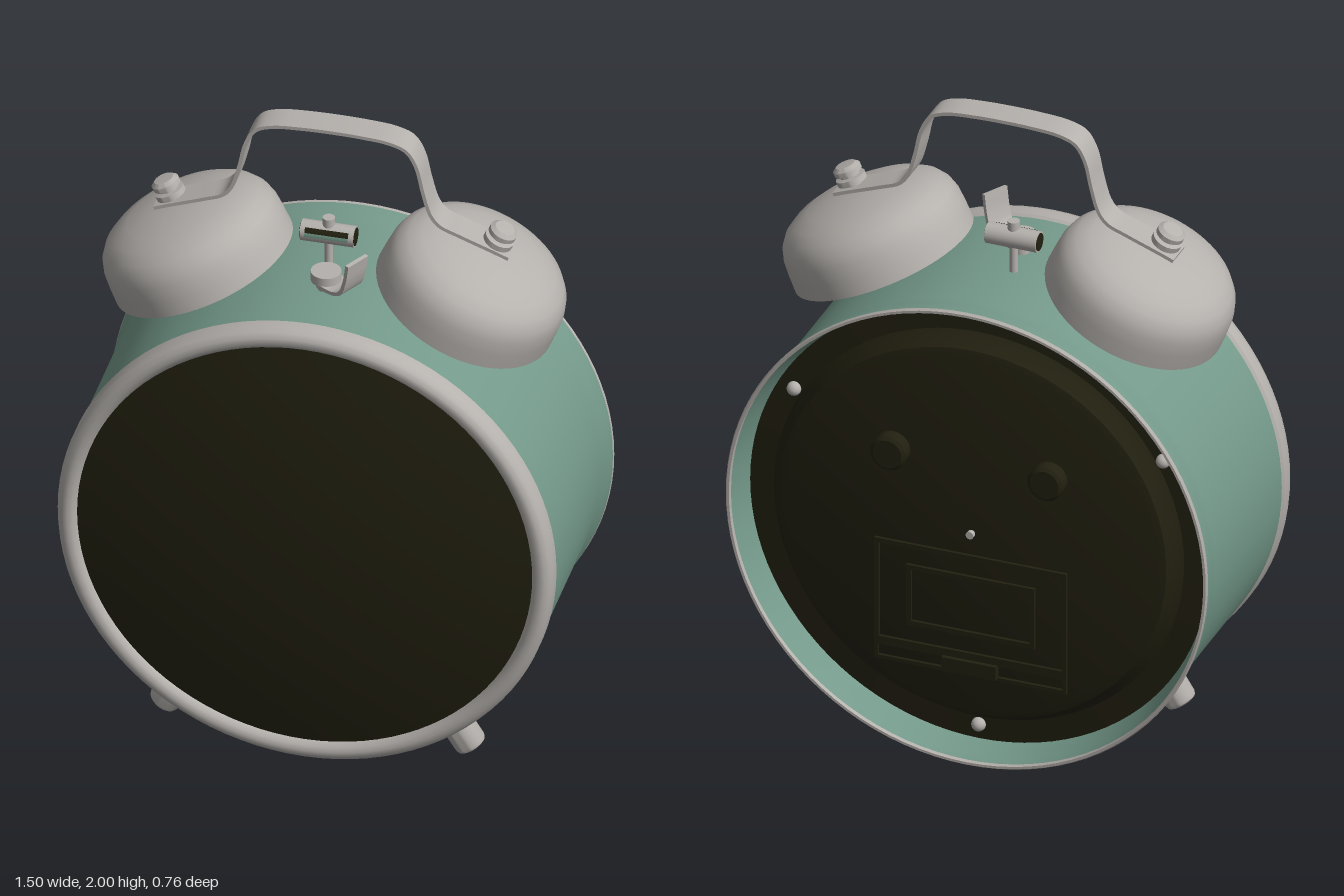
import * as THREE from 'three';
import { toCreasedNormals } from 'three/addons/utils/BufferGeometryUtils.js';

const mat = (name, color) => new THREE.MeshStandardMaterial({ name, color, side: THREE.DoubleSide });
const CY = 0.755; // height of the case centre

export function createModel() {
  const metal = mat('satin metal', 0xb5b1ad);
  const green = mat('sage green', 0x74998a);
  const dark = mat('dark olive', 0x222010);
  const model = new THREE.Group();

  const add = (parent, name, geo, material, x = 0, y = 0, z = 0) => {
    const mesh = new THREE.Mesh(geo, material);
    mesh.name = name;
    mesh.position.set(x, y, z);
    parent.add(mesh);
    return mesh;
  };
  const lathe = (pts, seg = 48) => toCreasedNormals(
    new THREE.LatheGeometry(pts.map(p => new THREE.Vector2(...p)), seg), 0.6);
  const cyl = (r, h, seg = 24) => new THREE.CylinderGeometry(r, r, h, seg);
  // Turned part whose axis runs along z
  const turned = (name, pts, material) =>
    add(model, name, lathe(pts, 96).rotateX(Math.PI / 2), material, 0, CY, 0);
  // Bent strip: a smooth path in xy, given thickness and a width in z
  const strip = (pts, thick, width, n) => {
    const curve = new THREE.CatmullRomCurve3(pts.map(p => new THREE.Vector3(p[0], p[1], 0)), false, 'centripetal');
    const a = [], b = [];
    for (let i = 0; i <= n; i++) {
      const p = curve.getPoint(i / n), t = curve.getTangent(i / n);
      a.push(new THREE.Vector2(p.x - t.y * thick / 2, p.y + t.x * thick / 2));
      b.unshift(new THREE.Vector2(p.x + t.y * thick / 2, p.y - t.x * thick / 2));
    }
    const geo = new THREE.ExtrudeGeometry(new THREE.Shape([...a, ...b]), { depth: width, bevelEnabled: false });
    return toCreasedNormals(geo.translate(0, 0, -width / 2), 0.6);
  };

  // Case, open at the back with a flared rim
  turned('case', [[0.735, -0.27], [0.738, -0.30], [0.748, -0.335], [0.750, -0.362]].reverse()
    .concat([[0.735, 0.255]]), green);
  turned('caseInside', [[0.738, -0.362], [0.735, -0.335], [0.722, -0.30], [0.712, -0.25]], green);
  turned('backRim', [[0.738, -0.36], [0.740, -0.374], [0.748, -0.374], [0.752, -0.368], [0.750, -0.36]], metal);

  // Front bezel and domed face
  turned('bezel', [[0.70, 0.25], [0.732, 0.25], [0.742, 0.262], [0.742, 0.298], [0.736, 0.317],
    [0.722, 0.329], [0.706, 0.331], [0.692, 0.325], [0.682, 0.312], [0.678, 0.295]], metal);
  const dome = [];
  for (let i = 0; i <= 12; i++) {
    const r = 0.684 * (1 - i / 12);
    dome.push([r, 0.38 - 0.05 * (r / 0.57) ** 2]);
  }
  turned('faceDome', dome, dark);

  // Back plate with a raised centre
  turned('backPlate', [[0, -0.332], [0.58, -0.332], [0.605, -0.325], [0.625, -0.285],
    [0.64, -0.272], [0.72, -0.268]], dark);
  for (const s of [-1, 1]) {
    add(model, 'settingKnob', lathe([[0, -0.048], [0.045, -0.048], [0.055, -0.04], [0.055, 0]], 32)
      .rotateX(Math.PI / 2), dark, s * 0.245, 0.99, -0.33);
  }
  add(model, 'centrePin', cyl(0.012, 0.02).rotateX(Math.PI / 2), metal, 0, CY, -0.337);
  for (let i = 0; i < 3; i++) {
    const a = -Math.PI / 2 + i * Math.PI * 2 / 3;
    add(model, 'backScrew', new THREE.SphereGeometry(0.022, 16, 10), metal,
      0.665 * Math.cos(a), CY + 0.665 * Math.sin(a), -0.275);
  }

  // Battery door, raised frames, tray and latch
  const frame = (name, w, h, t, y) => {
    const rect = (k, S) => new S().moveTo(-w / 2 + k, -h / 2 + k).lineTo(w / 2 - k, -h / 2 + k)
      .lineTo(w / 2 - k, h / 2 - k).lineTo(-w / 2 + k, h / 2 - k).closePath();
    const shape = rect(0, THREE.Shape);
    shape.holes.push(rect(t, THREE.Path));
    add(model, name, new THREE.ExtrudeGeometry(shape, { depth: 0.012, bevelEnabled: false }), dark, 0, y, -0.342);
  };
  frame('batteryDoorFrame', 0.60, 0.34, 0.015, 0.515);
  frame('batteryDoorPanel', 0.40, 0.20, 0.015, 0.515);
  frame('batteryTray', 0.60, 0.06, 0.012, 0.315);
  add(model, 'batteryLatch', new THREE.BoxGeometry(0.17, 0.045, 0.03), dark, 0, 0.315, -0.34);

  // Bells, posts, nuts and feet, mirrored left and right
  for (const s of [-1, 1]) {
    const bell = new THREE.Group();
    bell.name = s > 0 ? 'leftBell' : 'rightBell';
    bell.position.set(s * 0.39, 1.45, -0.037);
    bell.rotation.z = -s * 0.42;
    model.add(bell);
    add(bell, 'bellShell', lathe([[0.272, 0.002], [0.28, 0], [0.279, 0.05], [0.276, 0.095], [0.266, 0.128],
      [0.245, 0.157], [0.21, 0.181], [0.16, 0.2], [0.09, 0.214], [0, 0.22]], 64), metal);
    add(bell, 'bellPost', cyl(0.02, 0.32), metal, 0, 0.06, 0);
    add(bell, 'bellNut', lathe([[0.03, 0.21], [0.03, 0.24], [0.045, 0.242], [0.045, 0.26], [0.03, 0.263],
      [0.03, 0.27], [0.042, 0.273], [0.042, 0.288], [0.03, 0.298], [0, 0.3]], 32), metal);

    const a = 0.57; // angle of the foot away from straight down
    const foot = add(model, s > 0 ? 'leftFoot' : 'rightFoot',
      lathe([[0, -0.075], [0.035, -0.075], [0.044, -0.07], [0.048, -0.06], [0.048, 0.075]], 32), metal,
      s * 0.785 * Math.sin(a), CY - 0.785 * Math.cos(a), 0.158);
    foot.rotation.z = s * a;
  }

  // Carrying handle
  const half = [[0.53, 1.642], [0.49, 1.658], [0.38, 1.699], [0.325, 1.722], [0.298, 1.755], [0.275, 1.83],
    [0.255, 1.915], [0.225, 1.965], [0.175, 1.985], [0.09, 1.993]];
  const path = [...half.map(([x, y]) => [-x, y]), [0, 1.995], ...half.slice().reverse()];
  add(model, 'handle', strip(path, 0.011, 0.09, 90), metal, 0, 0, -0.04);

  // Hammer between the bells
  const hammer = new THREE.Group();
  hammer.name = 'hammer';
  hammer.position.set(-0.022, 1.602, -0.056);
  model.add(hammer);
  add(hammer, 'hammerHead', cyl(0.032, 0.16).rotateZ(Math.PI / 2), metal);
  add(hammer, 'hammerStem', cyl(0.012, 0.14), metal, 0, -0.07, 0);
  add(hammer, 'hammerNub', cyl(0.018, 0.03), metal, 0, 0.04, 0);
  for (const s of [-1, 1]) {
    add(hammer, 'hammerEnd', cyl(0.027, 0.004).rotateZ(Math.PI / 2), dark, s * 0.08, 0, 0);
  }
  // Coloured band on the front of the head
  const band = (name, start, len, m) => add(hammer, name,
    new THREE.CylinderGeometry(0.0335, 0.0335, 0.13, 12, 1, true, start, len).rotateZ(Math.PI / 2), m);
  band('hammerBandUpper', -0.1, 0.4, green);
  band('hammerBandLower', 0.3, 0.5, dark);

  // Alarm stop lever
  const lever = new THREE.Group();
  lever.name = 'stopLever';
  lever.position.set(0, 0, 0.06);
  lever.rotation.y = -0.5;
  model.add(lever);
  add(lever, 'leverBase', cyl(0.045, 0.03), metal, 0, 1.535, 0);
  add(lever, 'leverNeck', cyl(0.025, 0.06), metal, 0, 1.5, 0);
  add(lever, 'leverPaddle', strip([[0, 1.518], [0.06, 1.518], [0.092, 1.533], [0.11, 1.575],
    [0.122, 1.64]], 0.012, 0.085, 24), metal);

  return model;
}
